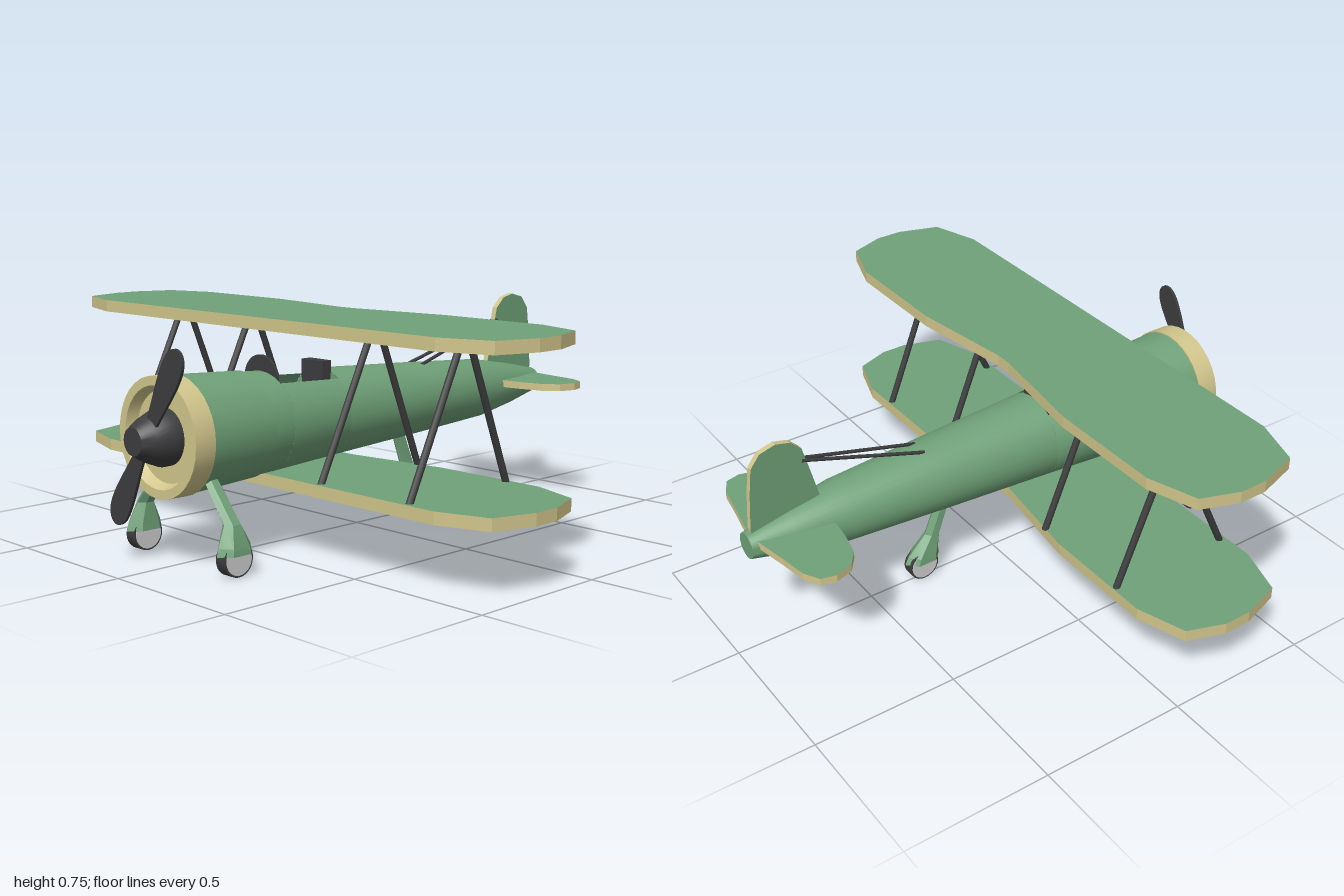
import * as THREE from 'three';
import { toCreasedNormals } from 'three/addons/utils/BufferGeometryUtils.js';

const mat = (name, color, side = THREE.FrontSide) => {
  const m = new THREE.MeshStandardMaterial({ color, side });
  m.name = name;
  return m;
};

export function createModel() {
  const green = mat('green paint', 0x6fa178, THREE.DoubleSide);
  const cream = mat('cream trim', 0xd2c68c);
  const dark = mat('dark metal', 0x3d3d3f);
  const grey = mat('wheel hub grey', 0xd0d0d0);
  const plane = new THREE.Group();
  plane.name = 'biplane';
  const AXIS = 0.412; // height of the fuselage centre line

  const add = (name, geo, material, x = 0, y = 0, z = 0) => {
    const m = new THREE.Mesh(geo, material);
    m.name = name;
    m.position.set(x, y, z);
    plane.add(m);
    return m;
  };
  // Round body along x from [x, radius] pairs; gap is the half angle left open on top
  const body = (name, profile, material, gap = 0) => {
    const pts = profile.map(([x, r]) => new THREE.Vector2(r, x));
    const g = new THREE.LatheGeometry(pts, 32, Math.PI * 1.5 + gap, Math.PI * 2 - gap * 2);
    g.rotateZ(-Math.PI / 2);
    return add(name, toCreasedNormals(g, 0.6), material, 0, AXIS, 0);
  };
  // Flat panel with green faces and cream edges, centred on its thickness
  const panel = (outline, depth) => {
    const shape = new THREE.Shape(outline.map(([x, y]) => new THREE.Vector2(x, y)));
    return new THREE.ExtrudeGeometry(shape, { depth, bevelEnabled: false }).translate(0, 0, -depth / 2);
  };
  const mirrored = half => [...half, ...half.slice().reverse().map(([x, y]) => [x, -y])];
  const rod = (name, a, b, r) => {
    const A = new THREE.Vector3(...a), B = new THREE.Vector3(...b);
    const d = B.clone().sub(A);
    const m = add(name, new THREE.CylinderGeometry(r, r, d.length(), 10), dark);
    m.position.copy(A).add(B).multiplyScalar(0.5);
    m.quaternion.setFromUnitVectors(new THREE.Vector3(0, 1, 0), d.normalize());
  };

  // Fuselage, open over the cockpit
  body('noseBody', [[-0.77, 0.186], [-0.51, 0.172], [-0.51, 0.168], [-0.43, 0.164]], green);
  body('cockpitBody', [[-0.43, 0.164], [-0.17, 0.149]], green, 0.62);
  body('rearBody', [[-0.17, 0.149], [0.25, 0.127], [0.6, 0.106], [0.78, 0.076], [0.93, 0.044], [0.93, 0]], green);
  for (const [x, r] of [[-0.43, 0.163], [-0.17, 0.148]])
    add('bulkhead', new THREE.CircleGeometry(r, 32).rotateY(Math.PI / 2), green, x, AXIS, 0);
  add('cockpitFloor', new THREE.BoxGeometry(0.25, 0.01, 0.25), dark, -0.3, 0.47, 0);
  add('seat', new THREE.BoxGeometry(0.04, 0.11, 0.1), dark, -0.187, 0.535, 0);
  const screen = new THREE.Shape();
  screen.absarc(0, 0, 0.08, 0, Math.PI);
  add('windscreen', new THREE.ExtrudeGeometry(screen, { depth: 0.008, bevelEnabled: false })
    .rotateY(Math.PI / 2), dark, -0.43, 0.548, 0);

  // Cowl, spinner and propeller
  body('cowl', [[-0.81, 0], [-0.81, 0.145], [-0.845, 0.16], [-0.845, 0.189], [-0.77, 0.19], [-0.77, 0.18]], cream);
  body('spinner', [[-0.935, 0], [-0.935, 0.044], [-0.89, 0.07], [-0.84, 0.09], [-0.81, 0.09]], dark);
  const blade = new THREE.Shape();
  blade.moveTo(-0.018, 0);
  blade.bezierCurveTo(-0.025, 0.12, -0.05, 0.2, -0.045, 0.27);
  blade.bezierCurveTo(-0.04, 0.35, 0.04, 0.35, 0.045, 0.27);
  blade.bezierCurveTo(0.05, 0.2, 0.025, 0.12, 0.018, 0);
  const bladeGeo = new THREE.ExtrudeGeometry(blade, { depth: 0.01, bevelEnabled: false })
    .translate(0, 0, -0.005).rotateY(Math.PI / 2);
  for (const turn of [0, Math.PI])
    add('propellerBlade', bladeGeo, dark, -0.885, AXIS, 0).rotation.x = 0.54 + turn;

  // Wings
  const wingHalf = [[-0.465, 0.785], [-0.41, 0.955], [-0.27, 1], [-0.175, 1],
    [-0.05, 0.955], [0.005, 0.79], [0.005, 0.39], [-0.045, 0.03]];
  const wingGeo = panel(mirrored(wingHalf), 0.04).rotateX(-Math.PI / 2);
  add('upperWing', wingGeo, [green, cream], 0, 0.732, 0);
  add('lowerWing', wingGeo, [green, cream], 0, 0.235, 0);

  // Wing struts, an inverted V at each station
  for (const z of [-0.67, -0.295, 0.295, 0.67]) {
    rod('frontStrut', [-0.22, 0.72, z], [-0.445, 0.25, z], 0.0115);
    rod('rearStrut', [-0.192, 0.72, z], [-0.008, 0.25, z], 0.0115);
  }

  // Tail
  const tailHalf = [[0.655, 0.04], [0.672, 0.17], [0.69, 0.25], [0.73, 0.302], [0.79, 0.32],
    [0.84, 0.308], [0.87, 0.255], [0.885, 0.16], [0.908, 0.04]];
  add('tailplane', panel(mirrored(tailHalf), 0.025).rotateX(-Math.PI / 2), [green, cream], 0, 0.43, 0);
  add('fin', panel([[0.91, 0.43], [0.915, 0.47], [0.905, 0.6], [0.893, 0.69], [0.86, 0.732], [0.805, 0.747],
    [0.755, 0.735], [0.718, 0.7], [0.692, 0.6], [0.665, 0.49], [0.66, 0.43]], 0.02), [green, cream]);
  for (const s of [-1, 1]) rod('tailWire', [0.29, 0.53, 0.03 * s], [0.72, 0.655, 0.008 * s], 0.006);

  // Hexagonal leg lofted through sections [x, y, z, half length, half width]
  const leg = (name, sections) => {
    const pos = [], idx = [], n = sections.length;
    for (const [x, y, z, hx, hz] of sections)
      for (let i = 0; i < 6; i++) {
        const a = i * Math.PI / 3;
        pos.push(x + hx * Math.cos(a), y, z + hz * Math.sin(a) / 0.866);
      }
    for (let s = 0; s < n - 1; s++)
      for (let i = 0; i < 6; i++) {
        const a = s * 6 + i, b = s * 6 + (i + 1) % 6;
        idx.push(a, b, a + 6, b, b + 6, a + 6);
      }
    for (let i = 1; i < 5; i++) idx.push((n - 1) * 6, (n - 1) * 6 + i + 1, (n - 1) * 6 + i);
    // Wind the faces outward
    for (let i = 0; i < idx.length; i += 3) [idx[i + 1], idx[i + 2]] = [idx[i + 2], idx[i + 1]];
    const g = new THREE.BufferGeometry();
    g.setAttribute('position', new THREE.Float32BufferAttribute(pos, 3));
    g.setIndex(idx.reverse());
    add(name, toCreasedNormals(g, 0.3), green);
  };
  const wheel = (x, z) => {
    add('tyre', new THREE.CylinderGeometry(0.055, 0.055, 0.042, 24).rotateX(Math.PI / 2), dark, x, 0.06, z);
    add('hub', new THREE.CylinderGeometry(0.049, 0.049, 0.046, 24).rotateX(Math.PI / 2), grey, x, 0.06, z);
  };
  for (const s of [-1, 1]) {
    leg('mainLeg', [[-0.735, 0.29, 0.115 * s, 0.026, 0.018], [-0.735, 0.165, 0.215 * s, 0.03, 0.024],
      [-0.735, 0.1, 0.225 * s, 0.062, 0.036], [-0.735, 0.075, 0.225 * s, 0.068, 0.038]]);
    wheel(-0.735, 0.225 * s);
  }
  leg('tailLeg', [[0.2, 0.3, 0, 0.026, 0.018], [0.25, 0.17, 0, 0.03, 0.02],
    [0.288, 0.1, 0, 0.06, 0.034], [0.293, 0.075, 0, 0.068, 0.036]]);
  wheel(0.297, 0);

  return plane;
}
